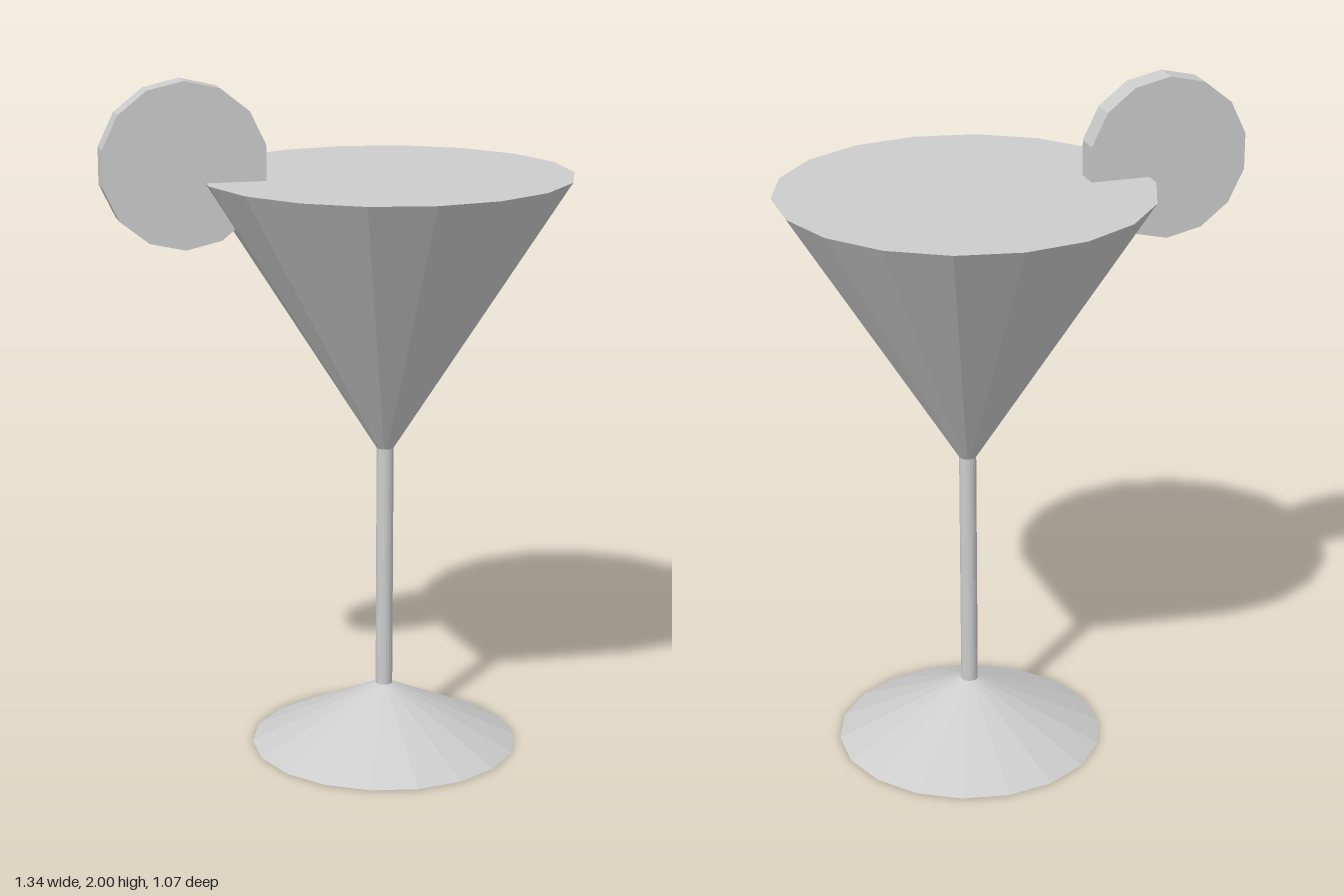
import * as THREE from 'three';

export function createModel() {
  const group = new THREE.Group();
  const grey = new THREE.MeshStandardMaterial({ color: 0xcccccc, flatShading: true, side: THREE.DoubleSide });
  grey.name = 'plain grey';

  const AXIS_X = 0.142; // centre line of the glass
  const SIDES = 18;
  const STEM_R = 0.025;

  // Tapered faceted section of the glass between two heights
  function section(name, rTop, rBottom, y0, y1, open) {
    const geo = new THREE.CylinderGeometry(rTop, rBottom, y1 - y0, SIDES, 1, open);
    const mesh = new THREE.Mesh(geo, grey);
    mesh.name = name;
    mesh.position.set(AXIS_X, (y0 + y1) / 2, 0);
    group.add(mesh);
  }

  // Hollow foot, thin stem, and bowl filled to the rim
  section('foot', STEM_R, 0.395, 0, 0.18, true);
  section('stem', STEM_R, STEM_R, 0.18, 0.91, false);
  section('bowl', 0.537, STEM_R, 0.91, 1.715, false);

  // Round fruit slice wedged on the rim, a vertex pointing straight up
  const sliceGeo = new THREE.CylinderGeometry(0.236, 0.236, 0.077, 14);
  sliceGeo.rotateX(Math.PI / 2);
  const slice = new THREE.Mesh(sliceGeo, grey);
  slice.name = 'fruitSlice';
  slice.position.set(-0.444, 1.764, 0);
  group.add(slice);

  return group;
}
